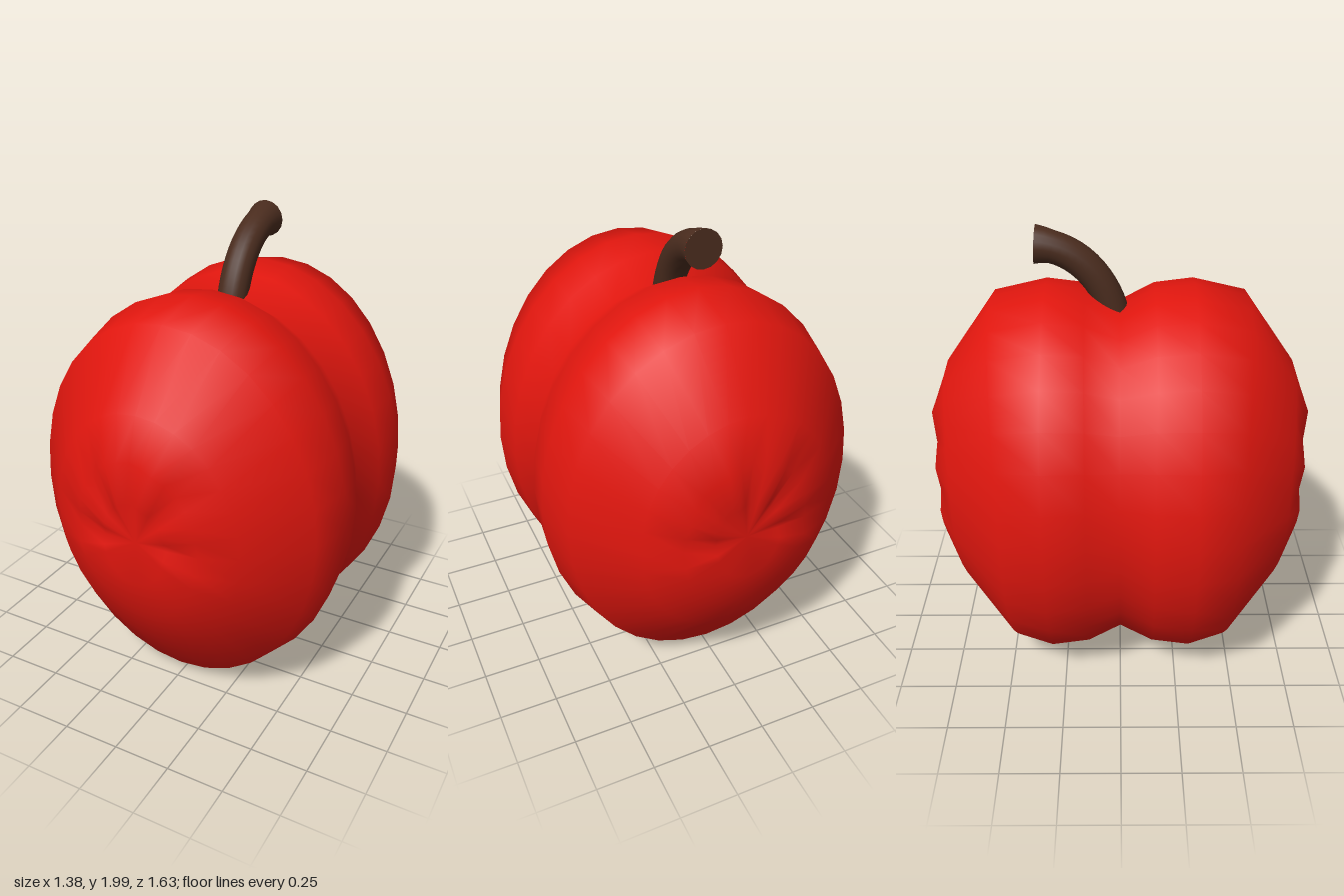
import * as THREE from 'three';

const CENTER_Y = 0.88;
const SEGMENTS = 32;

// Half profile from the front pole to the middle groove:
// [radius x, radius y, z at the top, z at the sides, z at the bottom]
const HALF = [
  [0.14, 0.18, 0.815, 0.80, 0.805],
  [0.27, 0.36, 0.815, 0.785, 0.75],
  [0.42, 0.53, 0.74, 0.705, 0.67],
  [0.64, 0.82, 0.535, 0.485, 0.465],
  [0.69, 0.87, 0.31, 0.31, 0.31],
  [0.67, 0.85, 0.145, 0.14, 0.145],
  [0.615, 0.775, 0, 0, 0],
];

// Rings run from front to back, mirrored at the groove
function createFruit(material) {
  const rings = HALF.map((r) => ({ r, side: 1 }));
  for (let i = HALF.length - 2; i >= 0; i--) rings.push({ r: HALF[i], side: -1 });

  const positions = [];
  const index = [];
  for (const { r, side } of rings) {
    const [rx, ry, zTop, zSide, zBottom] = r;
    for (let j = 0; j < SEGMENTS; j++) {
      const a = (j / SEGMENTS) * Math.PI * 2;
      const s = Math.sin(a);
      let z = zSide + (s > 0 ? zTop - zSide : zBottom - zSide) * s * s;
      // Puckered creases fan upward from the dimple at each end
      if (rx < 0.3 && s > -0.01) z -= 0.011 * (1 + Math.cos(8 * a));
      positions.push(rx * Math.cos(a), CENTER_Y + ry * s, side * z);
    }
  }
  for (let i = 0; i < rings.length - 1; i++) {
    for (let j = 0; j < SEGMENTS; j++) {
      const k = (j + 1) % SEGMENTS;
      const a = i * SEGMENTS + j, b = i * SEGMENTS + k;
      const c = a + SEGMENTS, d = b + SEGMENTS;
      index.push(a, c, b, b, c, d);
    }
  }

  // Dimpled poles
  const front = positions.length / 3;
  const back = front + 1;
  positions.push(0, CENTER_Y, 0.78, 0, CENTER_Y, -0.78);
  const last = (rings.length - 1) * SEGMENTS;
  for (let j = 0; j < SEGMENTS; j++) {
    const k = (j + 1) % SEGMENTS;
    index.push(front, j, k);
    index.push(back, last + k, last + j);
  }

  const geometry = new THREE.BufferGeometry();
  geometry.setAttribute('position', new THREE.Float32BufferAttribute(positions, 3));
  geometry.setIndex(index);
  geometry.computeVertexNormals();
  const mesh = new THREE.Mesh(geometry, material);
  mesh.name = 'fruitBody';
  return mesh;
}

// Curved stem that flares at its tip
function createStem(material) {
  const group = new THREE.Group();
  group.name = 'stem';
  const curve = new THREE.CubicBezierCurve3(
    new THREE.Vector3(0, 1.62, -0.025),
    new THREE.Vector3(0, 1.77, -0.06),
    new THREE.Vector3(0, 1.91, -0.17),
    new THREE.Vector3(0, 1.92, -0.345),
  );
  const steps = 14;
  const sides = 16;
  const geometry = new THREE.TubeGeometry(curve, steps, 0.066, sides, false);
  const pos = geometry.attributes.position;
  const v = new THREE.Vector3();
  for (let i = 0; i <= steps; i++) {
    const center = curve.getPointAt(i / steps);
    const scale = 1 + 0.2 * Math.max(0, (i / steps - 0.85) / 0.15);
    for (let j = 0; j <= sides; j++) {
      const n = i * (sides + 1) + j;
      v.fromBufferAttribute(pos, n).sub(center).multiplyScalar(scale).add(center);
      pos.setXYZ(n, v.x, v.y, v.z);
    }
  }
  const shaft = new THREE.Mesh(geometry, material);
  shaft.name = 'stemShaft';

  const tip = new THREE.Mesh(new THREE.CircleGeometry(0.079, sides), material);
  tip.name = 'stemTip';
  tip.position.copy(curve.getPointAt(1));
  tip.lookAt(tip.position.clone().add(curve.getTangentAt(1)));
  group.add(shaft, tip);
  return group;
}

export function createModel() {
  const red = new THREE.MeshStandardMaterial({ color: 0xe0160e });
  const brown = new THREE.MeshStandardMaterial({ color: 0x4a2c1e });
  const model = new THREE.Group();
  model.name = 'fruit';
  model.add(createFruit(red), createStem(brown));
  return model;
}
